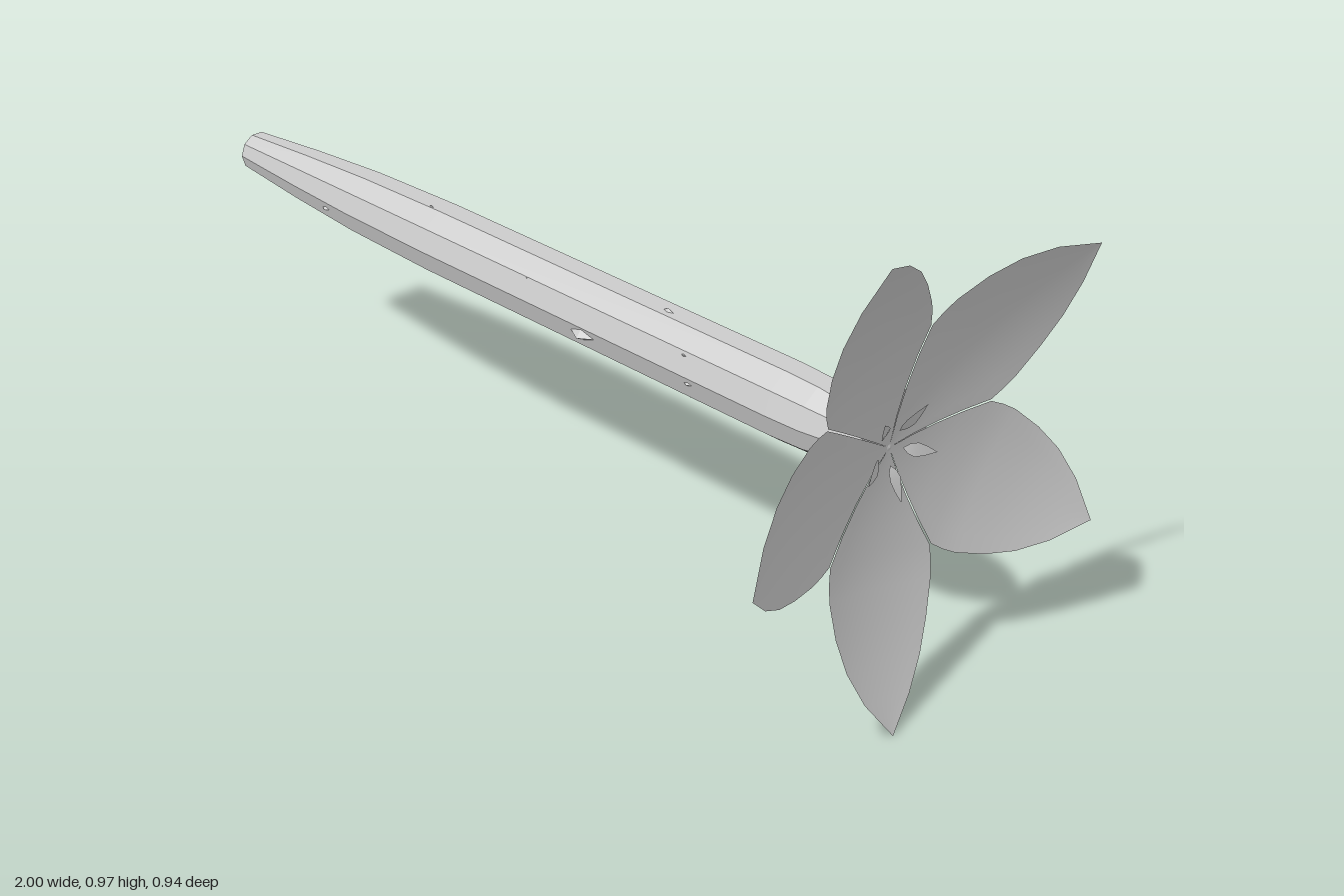
import * as THREE from 'three';

const CY = 0.5, CZ = -0.036; // stem axis

// Dished flower surface: distance along the stem for a given radius
const dish = r => 0.855 + 0.557 * r * r;

// Leaf blade built from cross-sections: outline = [distance, half width], lift = extra x offset
function bladeGeometry(outline, lift, across = 8) {
  const pos = [], idx = [];
  outline.forEach(([a, w], i) => {
    for (let j = 0; j <= across; j++) {
      const b = w * (2 * j / across - 1);
      pos.push(dish(Math.hypot(a, b)) + lift(i / (outline.length - 1), 2 * j / across - 1), b, a);
      if (i && j) {
        const p = i * (across + 1) + j, q = p - across - 1;
        idx.push(q - 1, p - 1, p, q - 1, p, q);
      }
    }
  });
  const g = new THREE.BufferGeometry();
  g.setAttribute('position', new THREE.Float32BufferAttribute(pos, 3));
  g.setIndex(idx);
  g.computeVertexNormals();
  return g;
}

export function createModel() {
  const group = new THREE.Group();
  group.name = 'flowerStalk';
  const grey = new THREE.MeshStandardMaterial({ color: 0xcccccc, side: THREE.DoubleSide });
  grey.name = 'light grey';

  const add = (geometry, name, parent) => {
    const mesh = new THREE.Mesh(geometry, grey);
    mesh.name = name;
    parent.add(mesh);
    return mesh;
  };
  const facet = g => {
    const f = g.index ? g.toNonIndexed() : g;
    f.computeVertexNormals();
    return f;
  };

  const axis = new THREE.Group();
  axis.name = 'axis';
  axis.position.set(0, CY, CZ);
  group.add(axis);

  // Faceted stem, tapered at both ends
  const profile = [[0, -1], [0.044, -1], [0.06, -0.8], [0.072, -0.6], [0.078, -0.35], [0.078, 0.62],
    [0.075, 0.7], [0.064, 0.77], [0.045, 0.82], [0.025, 0.85], [0, 0.857]]
    .map(([r, x]) => new THREE.Vector2(r, x));
  const stem = new THREE.LatheGeometry(profile, 10);
  stem.rotateZ(-Math.PI / 2);
  add(facet(stem), 'stem', axis);

  // Low pointed scales on the stem: [x, angle from +z toward +y in degrees, height above axis]
  const scales = [[-0.68, -15, 0.07], [-0.62, -90, 0.078], [-0.38, 75, 0.079], [-0.2, 160, 0.082],
    [-0.04, 35, 0.079], [0.04, -95, 0.097], [0.13, -12, 0.091], [0.2, -150, 0.085],
    [0.3, 85, 0.081], [0.37, -80, 0.084], [0.4, 30, 0.079], [0.42, -10, 0.08], [0.45, 170, 0.083]];
  for (const [x, deg, top] of scales) {
    const cone = new THREE.ConeGeometry(1, 0.05, 4, 1, true);
    cone.scale(0.1, 1, 0.04);
    cone.translate(0, top - 0.025, 0);
    cone.rotateX(Math.PI / 2 - THREE.MathUtils.degToRad(deg));
    cone.translate(x, 0, 0);
    add(facet(cone), 'stemScale', axis);
  }

  // Five blades evenly spaced around the stem axis
  const ring = (geometry, name, startDeg) => {
    for (let k = 0; k < 5; k++)
      add(geometry, name, axis).rotation.x = -THREE.MathUtils.degToRad(startDeg + 72 * k);
  };

  // Petals
  const petal = [[0, 0], [0.05, 0.0355], [0.1, 0.071], [0.15, 0.107], [0.2, 0.143], [0.23, 0.146], [0.262, 0.145],
    [0.328, 0.13], [0.39, 0.105], [0.45, 0.064], [0.51, 0]];
  ring(bladeGeometry(petal, () => 0), 'petal', -4.8);

  // Sepals lying behind the petals
  const sepal = [[0.02, 0.008], [0.05, 0.028], [0.09, 0.036], [0.13, 0.026], [0.18, 0]];
  ring(bladeGeometry(sepal, () => -0.008), 'sepal', -18);

  // Small pointed leaflets standing out of the throat
  const leaflet = [[0.035, 0], [0.045, 0.01], [0.058, 0.014], [0.078, 0.009], [0.1, 0]];
  ring(bladeGeometry(leaflet, t => 0.004 + 0.026 * t, 4), 'throatLeaflet', -18);

  return group;
}
